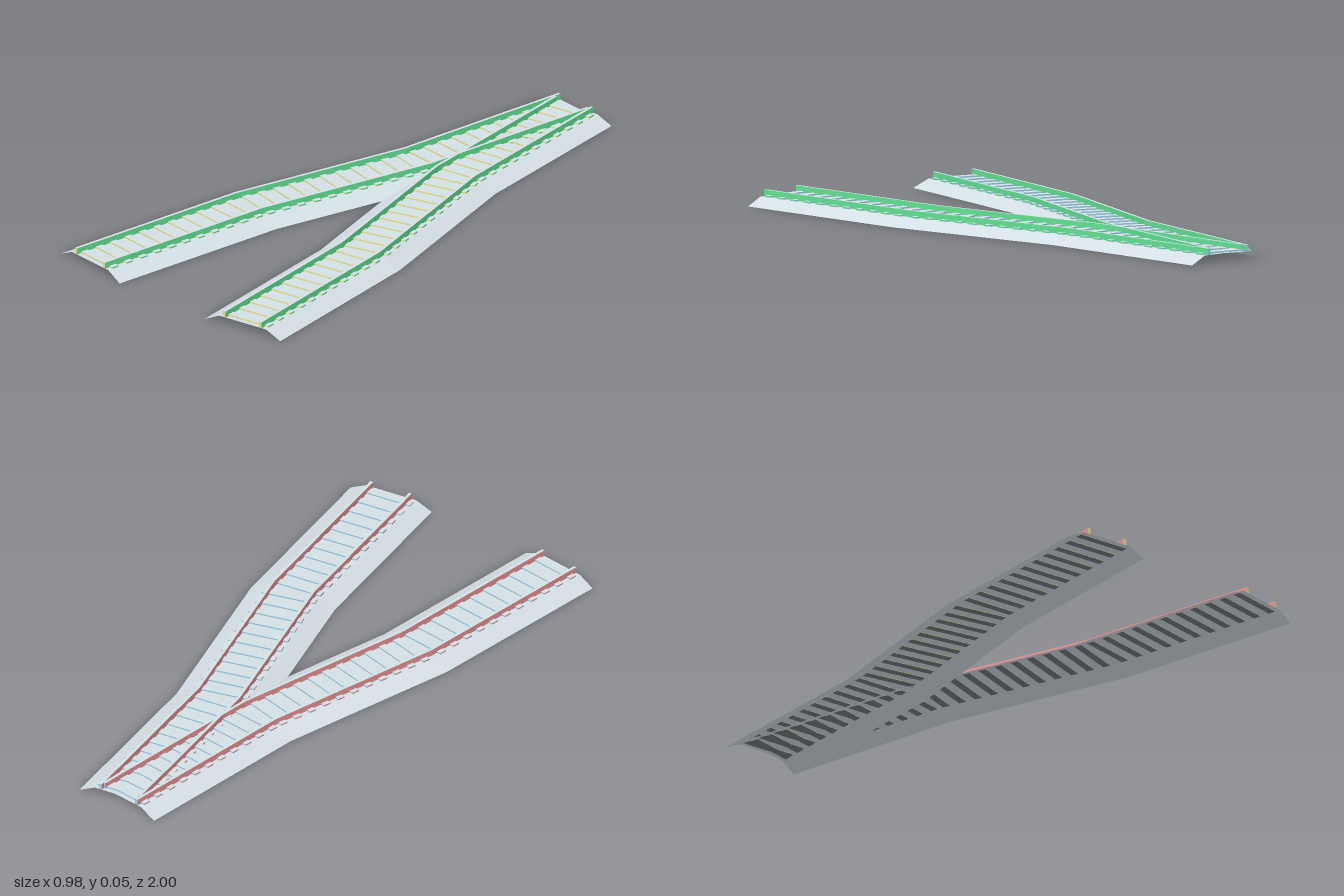
import * as THREE from 'three';

const paint = (name, color, side = THREE.FrontSide) => {
  const m = new THREE.MeshStandardMaterial({ color, side });
  m.name = name;
  return m;
};

// Sweeps a cross-section [across, height] along a mitred ground path of [x, z].
// Each edge of the section, then the back and front caps, gets its own group.
function sweep(section, path, caps) {
  const pts = path.map(([x, z]) => new THREE.Vector2(x, z));
  const normals = pts.slice(1).map((p, i) => {
    const d = p.clone().sub(pts[i]).normalize();
    return new THREE.Vector2(d.y, -d.x);
  });
  const rings = pts.map((p, i) => {
    const a = normals[Math.max(i - 1, 0)];
    const b = normals[Math.min(i, normals.length - 1)];
    const n = a.clone().add(b).normalize();
    const stretch = 1 / n.dot(a);
    return section.map(([u, y]) => [p.x + n.x * u * stretch, y, p.y + n.y * u * stretch]);
  });
  const pos = [];
  const geo = new THREE.BufferGeometry();
  const quad = (a, b, c, d) => pos.push(...a, ...b, ...c, ...a, ...c, ...d);
  let start = 0;
  let index = 0;
  const closeGroup = () => {
    geo.addGroup(start, pos.length / 3 - start, index++);
    start = pos.length / 3;
  };
  for (let k = 0; k < section.length - 1; k++) {
    for (let i = 0; i < rings.length - 1; i++) {
      quad(rings[i][k], rings[i + 1][k], rings[i + 1][k + 1], rings[i][k + 1]);
    }
    closeGroup();
  }
  if (caps) {
    const back = rings[0];
    const front = rings[rings.length - 1];
    quad(back[0], back[1], back[2], back[3]);
    closeGroup();
    quad(front[3], front[2], front[1], front[0]);
    closeGroup();
  }
  geo.setAttribute('position', new THREE.Float32BufferAttribute(pos, 3));
  geo.computeVertexNormals();
  return geo;
}

export function createModel() {
  const model = new THREE.Group();
  model.name = 'trackJunction';

  const gravel = paint('gravelGrey', 0xd4dfe5, THREE.DoubleSide);
  const steel = paint('steelGrey', 0xd4dfe5);
  const green = paint('greenSide', 0x62e294);
  const red = paint('redSide', 0xea9494);
  const yellow = paint('yellowFront', 0xf4ee90);
  const blue = paint('blueBack', 0x9ed2ee);
  const shade = paint('darkUnderside', 0x747c80);

  const bedHeight = 0.027;
  const tieBottom = 0.026;
  const tieTop = 0.032;
  const railTop = 0.048;
  const gauge = 0.0715;
  const railHalf = 0.005;
  const tiesPerSection = 11;

  // Centre lines, from the shared back end to the two front ends
  const routes = {
    right: [[-0.007, -0.98], [-0.088, -0.328], [-0.255, 0.3], [-0.3425, 0.963]],
    left: [[-0.002, -0.975], [0.081, -0.321], [0.254, 0.319], [0.3425, 0.977]],
  };

  // Right, left, top, bottom, front and back faces of a tie
  const tieGeo = new THREE.BoxGeometry(0.184, tieTop - tieBottom, 0.026);
  const tieMats = [green, red, steel, shade, yellow, blue];

  for (const [side, path] of Object.entries(routes)) {
    const track = new THREE.Group();
    track.name = side + 'Track';

    // Open sloped bed
    const bedSection = [[-0.15, 0], [-0.093, bedHeight], [0.093, bedHeight], [0.15, 0]];
    const bed = new THREE.Mesh(sweep(bedSection, path, false), [gravel, gravel, gravel]);
    bed.name = 'bed';
    track.add(bed);

    // Pair of rails
    for (const s of [-1, 1]) {
      const l = s * gauge - railHalf;
      const r = s * gauge + railHalf;
      const railSection = [[l, bedHeight], [l, railTop], [r, railTop], [r, bedHeight]];
      const rail = new THREE.Mesh(sweep(railSection, path, true), [red, steel, green, blue, yellow]);
      rail.name = s < 0 ? 'rightRail' : 'leftRail';
      track.add(rail);
    }

    // Ties, evenly spaced along each straight section
    const ties = new THREE.Group();
    ties.name = 'ties';
    for (let i = 0; i < path.length - 1; i++) {
      const [x0, z0] = path[i];
      const [x1, z1] = path[i + 1];
      for (let j = 0; j < tiesPerSection; j++) {
        const t = (j + 0.5) / tiesPerSection;
        const tie = new THREE.Mesh(tieGeo, tieMats);
        tie.name = 'tie';
        tie.position.set(x0 + (x1 - x0) * t, (tieTop + tieBottom) / 2, z0 + (z1 - z0) * t);
        tie.rotation.y = Math.atan2(x1 - x0, z1 - z0);
        ties.add(tie);
      }
    }
    track.add(ties);
    model.add(track);
  }
  return model;
}
